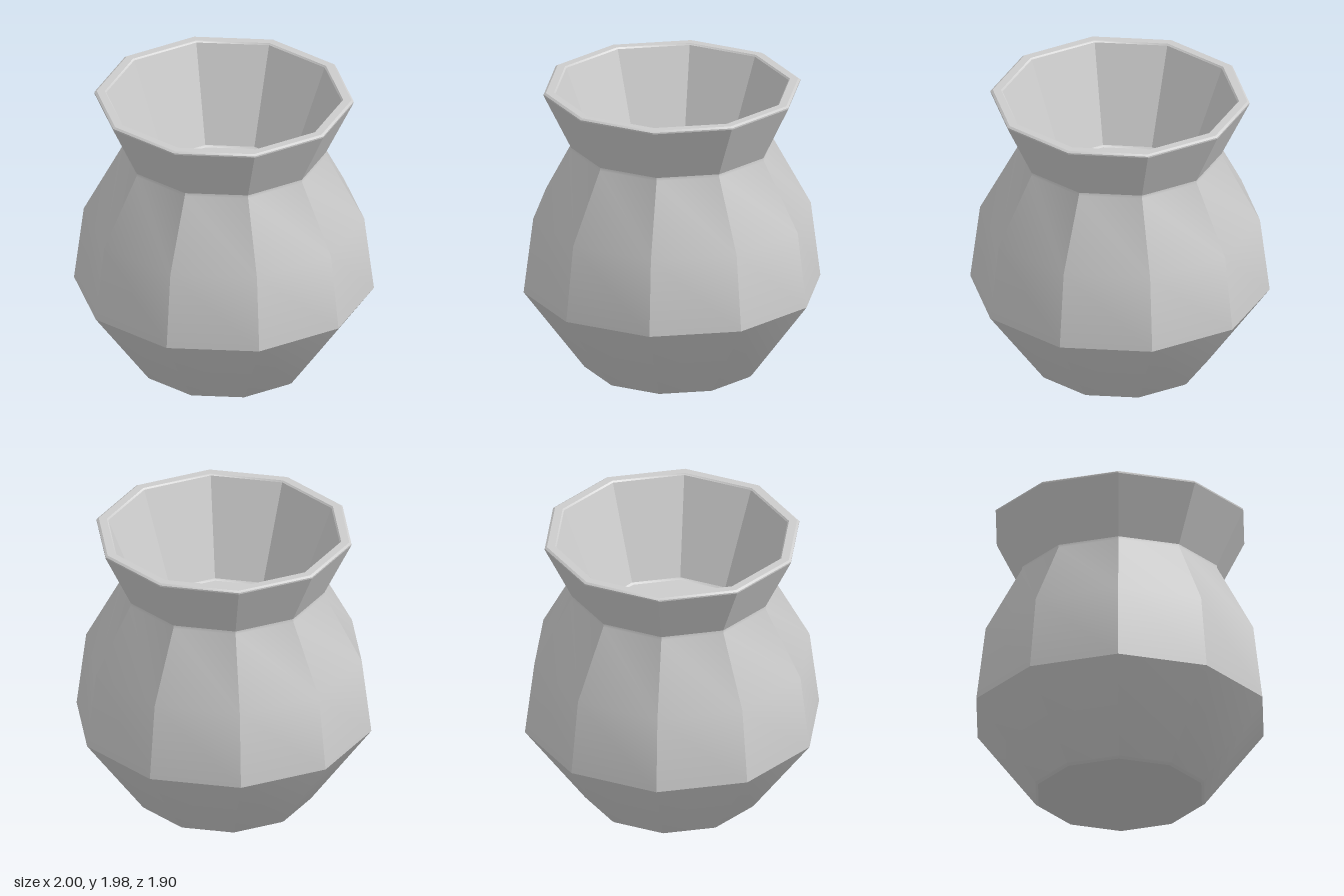
import * as THREE from 'three';
import { toCreasedNormals } from 'three/addons/utils/BufferGeometryUtils.js';

const SIDES = 10;

// Ten-sided turned body with a corner on the x axis; shallow edges stay smooth
function turned(name, profile) {
  const points = profile.map(([r, y]) => new THREE.Vector2(r, y));
  const lathe = new THREE.LatheGeometry(points, SIDES, Math.PI / 2);
  const geometry = toCreasedNormals(lathe, THREE.MathUtils.degToRad(30));
  const mesh = new THREE.Mesh(geometry, new THREE.MeshStandardMaterial({ color: 0xcccccc }));
  mesh.name = name;
  return mesh;
}

export function createModel() {
  const pot = new THREE.Group();
  pot.name = 'pot';

  // Foot, belly, shoulder, neck and flared collar
  pot.add(turned('outerWall', [
    [0, 0], [0.57, 0], [0.59, 0.015],
    [1, 0.57], [0.935, 1.09],
    [0.683, 1.56], [0.68, 1.58],
    [0.865, 1.96],
  ]));

  // Bevelled flat lip
  pot.add(turned('rim', [[0.865, 1.96], [0.865, 1.97], [0.85, 1.98], [0.795, 1.98], [0.785, 1.97]]));

  // Straight funnel-shaped inside with a flat floor
  pot.add(turned('innerWall', [[0.785, 1.97], [0.53, 1.33], [0.515, 1.32], [0, 1.32]]));

  return pot;
}
